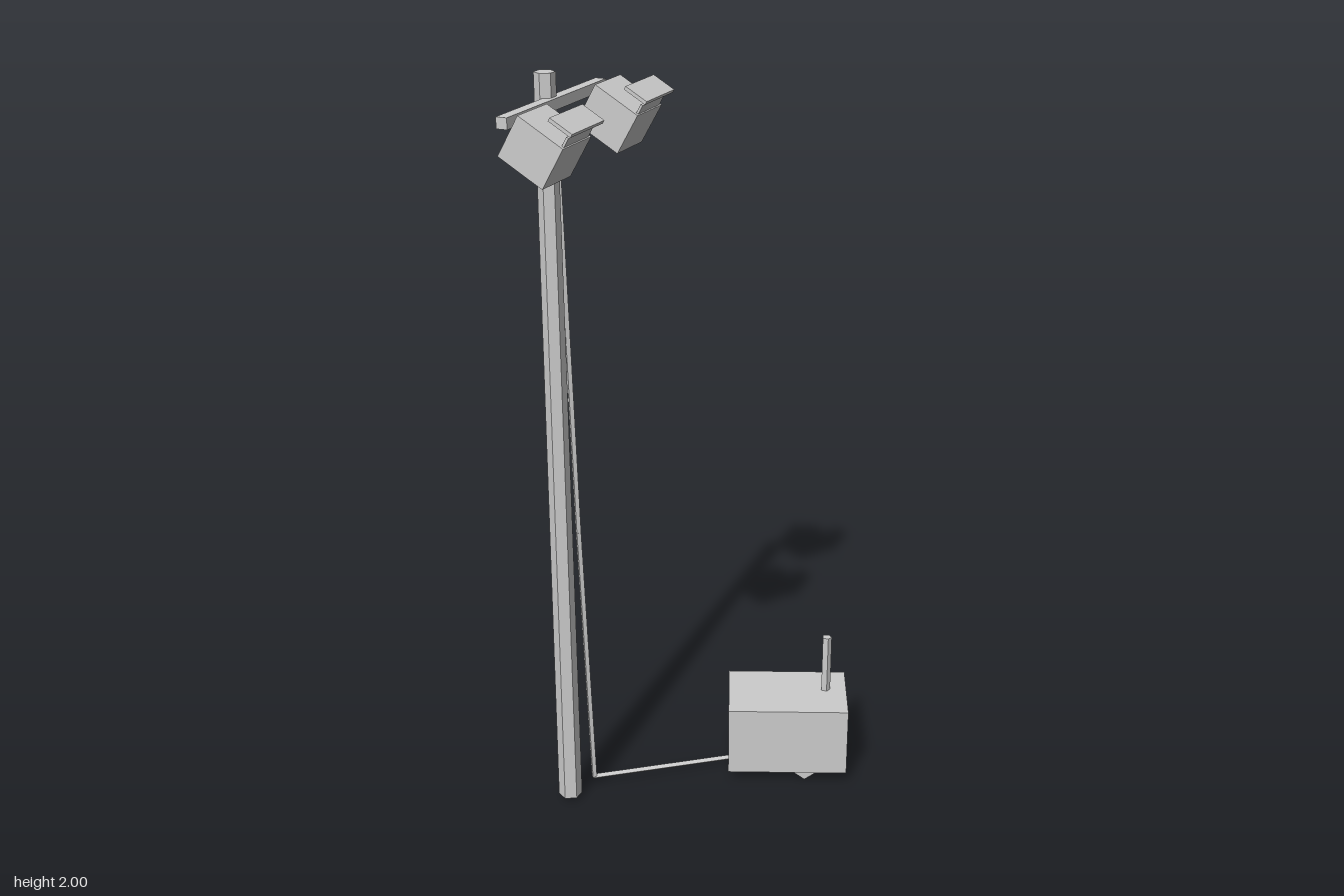
import * as THREE from 'three';

export function createModel() {
  const model = new THREE.Group();
  model.name = 'floodlightMast';
  const grey = new THREE.MeshStandardMaterial({ color: 0xcccccc, flatShading: true });
  grey.name = 'plain grey';

  const add = (parent, name, geometry, x = 0, y = 0, z = 0) => {
    const mesh = new THREE.Mesh(geometry, grey);
    mesh.name = name;
    mesh.position.set(x, y, z);
    parent.add(mesh);
    return mesh;
  };
  const box = (w, h, d) => new THREE.BoxGeometry(w, h, d);

  // Tapered six-sided pole and the bar that carries the lamps
  add(model, 'pole', new THREE.CylinderGeometry(0.026, 0.032, 1.99, 6), -0.325, 1.005, 0.157);
  add(model, 'crossbar', box(0.028, 0.027, 0.48), -0.306, 1.929, 0.153);

  // Two lamps tilted down, each with a bracket and a visor plate
  for (const z of [-0.031, 0.338]) {
    const lamp = new THREE.Group();
    lamp.name = 'lamp';
    lamp.position.set(-0.23, 1.873, z);
    lamp.rotation.z = -Math.PI / 6;
    add(lamp, 'lampBody', box(0.128, 0.111, 0.133));
    add(lamp, 'visorBracket', box(0.006, 0.03, 0.115), 0.058, 0.065, 0);
    add(lamp, 'visor', box(0.063, 0.009, 0.153), 0.039, 0.098, 0);
    model.add(lamp);
  }

  // Generator case, turned away from the pole
  const generator = new THREE.Group();
  generator.name = 'generator';
  generator.position.set(0.156, 0, -0.2525);
  generator.rotation.y = 0.4;
  add(generator, 'generatorCase', box(0.331, 0.198, 0.219), 0, 0.13, 0);
  model.add(generator);

  // Five-sided exhaust pipe
  const exhaust = new THREE.CylinderGeometry(0.0135, 0.0135, 0.18, 5);
  exhaust.rotateY(Math.PI);
  add(model, 'exhaustPipe', exhaust, 0.248, 0.307, -0.309);

  // Thin five-sided wheels, mostly sunk into the case with one corner down
  for (const [x, z] of [[0.235, -0.193], [0.08, -0.304]]) {
    const wheel = new THREE.CylinderGeometry(0.06, 0.06, 0.021, 5);
    wheel.rotateX(Math.PI / 2);
    // put a corner at the very bottom
    const corner = new THREE.Vector3().fromBufferAttribute(wheel.attributes.position, 0);
    wheel.rotateZ(-Math.PI / 2 - Math.atan2(corner.y, corner.x));
    add(model, 'wheel', wheel, x, 0.06, z).rotation.y = 0.4;
  }

  // Cable hanging down the pole and running along the ground to the generator
  const points = [
    [-0.32, 1.815, 0.121], [-0.299, 0.8, 0.112], [-0.288, 0.029, 0.084], [0.02, 0.014, -0.188],
  ].map((p) => new THREE.Vector3(...p));
  for (let i = 0; i < points.length - 1; i++) {
    const line = new THREE.LineCurve3(points[i], points[i + 1]);
    add(model, 'cable', new THREE.TubeGeometry(line, 1, 0.008, 4, false));
  }
  // Small joints close the bends and the open ends
  for (const p of points) add(model, 'cableJoint', new THREE.OctahedronGeometry(0.008), p.x, p.y, p.z);

  return model;
}
